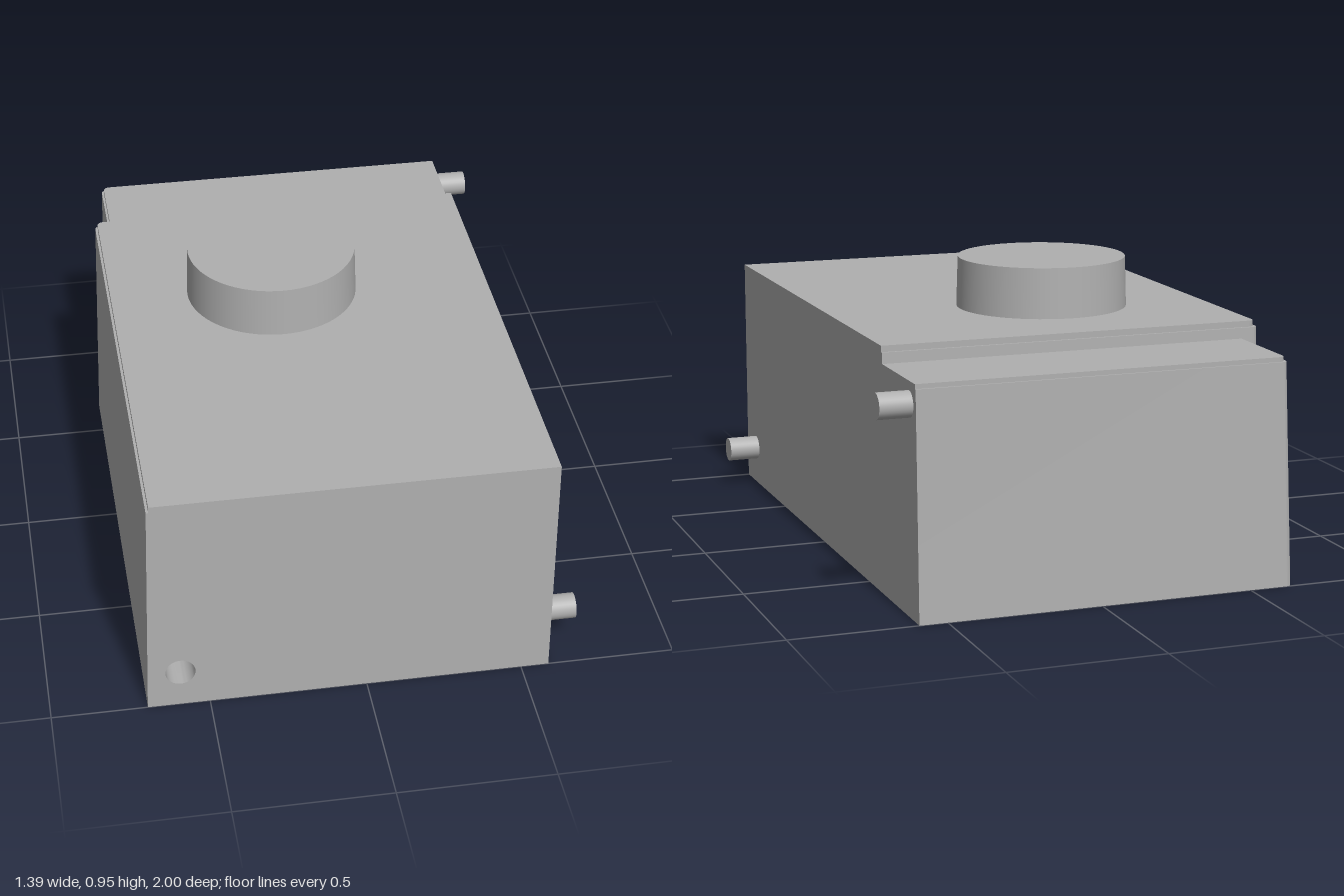
import * as THREE from 'three';
import { toCreasedNormals } from 'three/addons/utils/BufferGeometryUtils.js';

const RIGHT = 0.59;
const FRONT = 1;

// Horizontal outline with a rounded back-left corner
function ring({ y, front, left, back }) {
  const r = 0.02;
  const pts = [[RIGHT, y, front], [left, y, front]];
  for (let i = 0; i <= 6; i++) {
    const a = (i / 6) * Math.PI / 2;
    pts.push([left + r - r * Math.cos(a), y, back + r - r * Math.sin(a)]);
  }
  pts.push([RIGHT, y, back]);
  return pts;
}

// Stacks outlines into a block that is open at the front and capped above and below
function loft(levels) {
  const rings = levels.map(ring);
  const n = rings[0].length;
  const pos = rings.flat(2);
  const index = [];
  for (let k = 0; k < rings.length - 1; k++) {
    for (let i = 1; i < n; i++) {
      const a = k * n + i, b = k * n + (i + 1) % n;
      index.push(a, a + n, b, b, a + n, b + n);
    }
  }
  const top = (rings.length - 1) * n;
  for (let i = 1; i < n - 1; i++) {
    index.push(0, i, i + 1);
    index.push(top, top + i + 1, top + i);
  }
  const g = new THREE.BufferGeometry();
  g.setAttribute('position', new THREE.Float32BufferAttribute(pos, 3));
  g.setIndex(index);
  return toCreasedNormals(g, 0.6);
}

export function createModel() {
  const group = new THREE.Group();
  const grey = new THREE.MeshStandardMaterial({ color: 0xb0b0b0 });
  grey.name = 'grey';
  const add = (name, geometry, x = 0, y = 0, z = 0) => {
    const mesh = new THREE.Mesh(geometry, grey);
    mesh.name = name;
    mesh.position.set(x, y, z);
    group.add(mesh);
    return mesh;
  };

  // Main block: left and back walls lean in, with a small ledge under the top
  add('mainBlock', loft([
    { y: 0, front: FRONT, left: -0.697, back: -0.672 },
    { y: 0.765, front: FRONT, left: -0.675, back: -0.652 },
    { y: 0.765, front: FRONT, left: -0.667, back: -0.643 },
    { y: 0.785, front: FRONT, left: -0.667, back: -0.643 },
  ]));

  // Lower rear block, joined to the back wall of the main block
  add('rearBlock', loft([
    { y: 0, front: -0.672, left: -0.645, back: -1 },
    { y: 0.715, front: -0.653, left: -0.624, back: -0.977 },
    { y: 0.715, front: -0.653, left: -0.617, back: -0.97 },
    { y: 0.73, front: -0.653, left: -0.617, back: -0.97 },
  ]));

  // Front wall with a round socket
  const holeX = -0.59, holeY = 0.13, holeR = 0.047, holeDepth = 0.12;
  const wall = new THREE.Shape([
    [-0.697, 0], [RIGHT, 0], [RIGHT, 0.785], [-0.667, 0.785], [-0.667, 0.765], [-0.675, 0.765],
  ].map(([x, y]) => new THREE.Vector2(x, y)));
  wall.holes.push(new THREE.Path().absarc(holeX, holeY, holeR, 0, Math.PI * 2, true));
  add('frontWall', new THREE.ShapeGeometry(wall, 24), 0, 0, FRONT);

  const cup = new THREE.LatheGeometry([
    new THREE.Vector2(holeR, 0),
    new THREE.Vector2(holeR, -holeDepth),
    new THREE.Vector2(0, -holeDepth),
  ], 48);
  add('frontSocket', toCreasedNormals(cup, 0.6), holeX, holeY, FRONT).rotation.x = Math.PI / 2;

  // Round boss on top, slightly tapered
  add('topBoss', new THREE.CylinderGeometry(0.277, 0.282, 0.165, 64), -0.13, 0.8675, -0.13);

  // Locating pegs on the right wall
  const peg = new THREE.CylinderGeometry(0.041, 0.041, 0.105, 32).rotateZ(-Math.PI / 2);
  for (const [name, y, z] of [['frontPeg', 0.13, 0.88], ['rearPeg', 0.66, -0.915]]) {
    add(name, peg, RIGHT + 0.0525, y, z);
  }
  return group;
}
